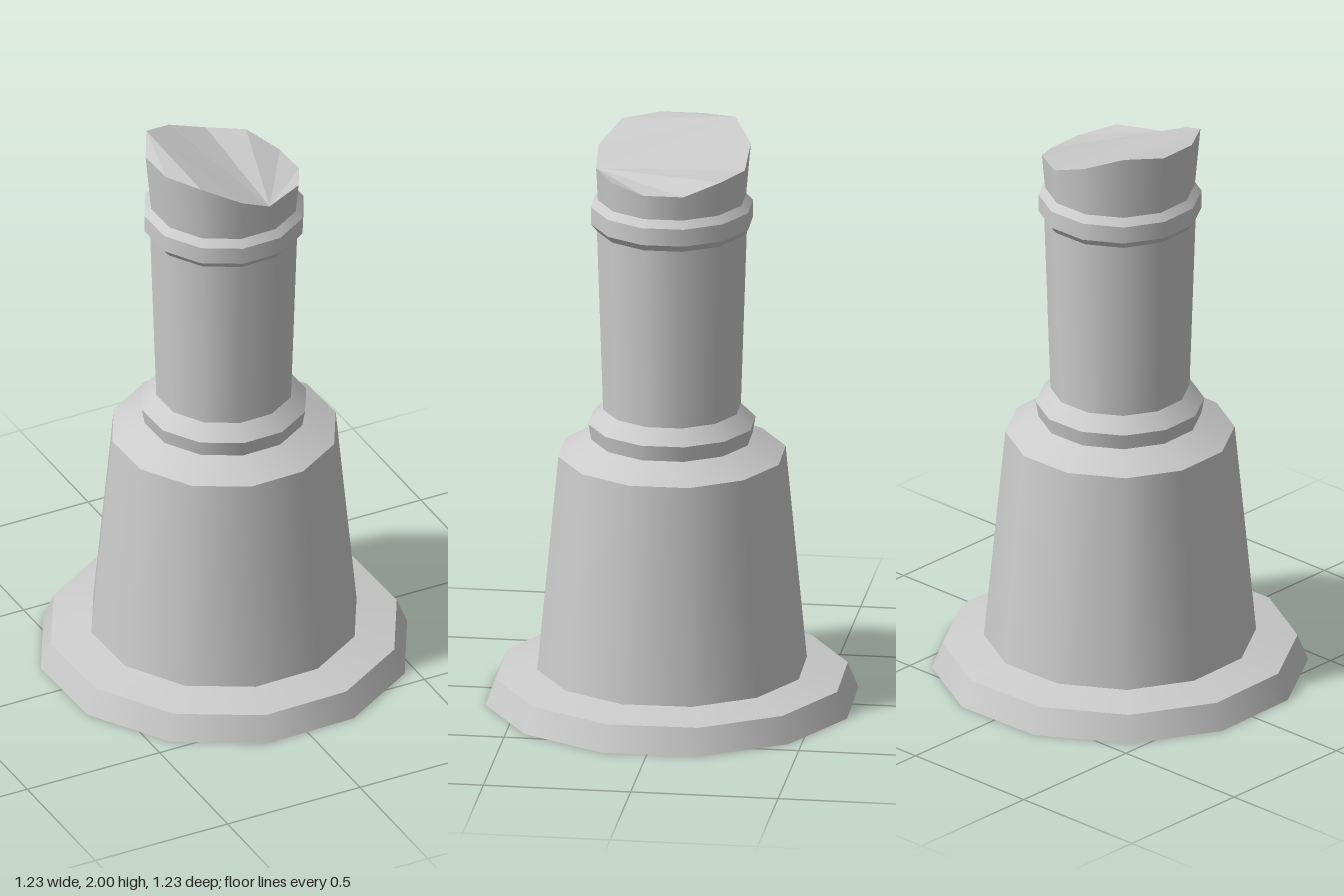
import * as THREE from 'three';
import { mergeGeometries } from 'three/addons/utils/BufferGeometryUtils.js';

const SIDES = 12;
const START = THREE.MathUtils.degToRad(16.3);
const material = new THREE.MeshStandardMaterial({ color: 0xcccccc, side: THREE.DoubleSide });

// One open ring of wall, smooth around, from (r0, y0) up to (r1, y1)
function band([r0, y0], [r1, y1]) {
  const g = new THREE.CylinderGeometry(r1, r0, y1 - y0, SIDES, 1, true, START);
  return g.translate(0, (y0 + y1) / 2, 0);
}

// Bands kept separate so every ring edge stays crisp
function turned(name, profile) {
  const bands = profile.slice(1).map((p, i) => band(profile[i], p));
  const mesh = new THREE.Mesh(mergeGeometries(bands), material);
  mesh.name = name;
  return mesh;
}

// Broken neck: rim height at each corner, counterclockwise from the front
const RIM = [1.865, 1.88, 1.86, 1.86, 1.895, 1.9, 1.95, 2.0, 1.985, 1.985, 1.98, 1.925];

function brokenTop() {
  const group = new THREE.Group();
  group.name = 'brokenTop';

  const rim = RIM.map((y, j) => {
    const a = START + (j * 2 * Math.PI) / SIDES;
    const r = 0.252 + (y - 1.775) * 0.09;
    return new THREE.Vector3(r * Math.sin(a), y, r * Math.cos(a));
  });
  rim[0].lerp(rim[11], 0.22); // front end of the valley

  // Wall that flares up to the uneven rim
  const wallGeo = band([0.252, 1.775], [0.265, 1.9]);
  const pos = wallGeo.attributes.position;
  for (let j = 0; j <= SIDES; j++) pos.setXYZ(j, ...rim[j % SIDES].toArray());
  wallGeo.computeBoundingSphere();
  const wall = new THREE.Mesh(wallGeo, material);
  wall.name = 'brokenWall';

  // Fracture surface: low facet, slope and high facet
  const facets = [[0, 1, 2, 3, 4, 5], [0, 5, 6, 7, 11], [7, 8, 9, 10, 11]];
  const points = [];
  for (const f of facets)
    for (let i = 1; i < f.length - 1; i++) points.push(rim[f[0]], rim[f[i]], rim[f[i + 1]]);
  const capGeo = new THREE.BufferGeometry().setFromPoints(points);
  capGeo.computeVertexNormals();
  const cap = new THREE.Mesh(capGeo, material);
  cap.name = 'fractureSurface';

  group.add(wall, cap);
  return group;
}

export function createModel() {
  const model = new THREE.Group();
  model.name = 'brokenColumn';
  model.add(
    // Hollow foot, open underneath
    turned('baseFlange', [[0.633, 0], [0.597, 0.09], [0.458, 0.117]]),
    turned('taperedBody', [[0.458, 0.117], [0.386, 0.87], [0.274, 0.925]]),
    turned('lowerCollar', [[0.274, 0.925], [0.284, 0.98], [0.234, 1.03]]),
    turned('shaft', [[0.234, 1.03], [0.255, 1.665]]),
    turned('upperCollar', [[0.255, 1.665], [0.275, 1.69], [0.275, 1.75], [0.252, 1.775]]),
    brokenTop()
  );
  return model;
}
